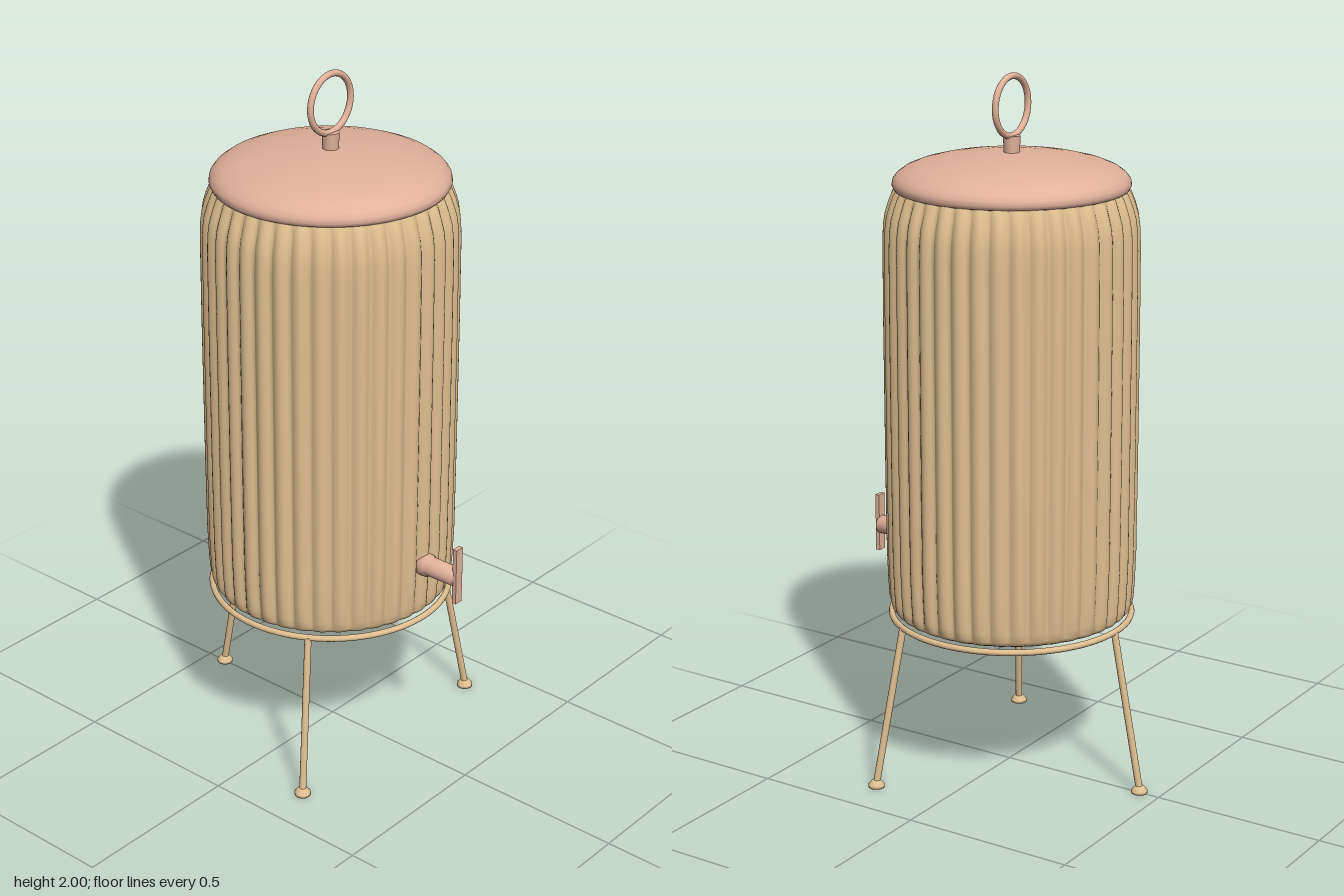
import * as THREE from 'three';
import { mergeVertices } from 'three/addons/utils/BufferGeometryUtils.js';

const FLUTES = 40;
const AXIS_Z = -0.007;

const tan = new THREE.MeshStandardMaterial({ name: 'warm tan', color: 0xdfbf8f });
const rose = new THREE.MeshStandardMaterial({ name: 'rose copper', color: 0xe2b19a });

function add(parent, name, geometry, material, x = 0, y = 0, z = 0) {
  const mesh = new THREE.Mesh(geometry, material);
  mesh.name = name;
  mesh.position.set(x, y, z);
  parent.add(mesh);
  return mesh;
}

const lathe = (pts, segments) =>
  new THREE.LatheGeometry(pts.map(([r, y]) => new THREE.Vector2(r, y)), segments);

// Round rod between two points
function rod(parent, name, from, to, radius, material) {
  const length = from.distanceTo(to);
  const mesh = add(parent, name, new THREE.CylinderGeometry(radius, radius, length, 12), material);
  mesh.position.copy(from).lerp(to, 0.5);
  mesh.quaternion.setFromUnitVectors(new THREE.Vector3(0, 1, 0), to.clone().sub(from).normalize());
  return mesh;
}

// Barrel turned from a profile, then scalloped into rounded flutes
function flutedBody() {
  const profile = [
    [0.322, 0.474], [0.334, 0.48], [0.343, 0.492], [0.348, 0.515], [0.351, 0.56], [0.354, 0.65],
    [0.355, 0.9], [0.355, 1.3], [0.354, 1.53], [0.352, 1.585], [0.347, 1.62],
    [0.338, 1.65], [0.328, 1.675], [0.318, 1.692],
  ];
  const geometry = lathe(profile, FLUTES * 8);
  geometry.deleteAttribute('uv');
  geometry.deleteAttribute('normal');
  const p = geometry.attributes.position;
  for (let i = 0; i < p.count; i++) {
    const x = p.getX(i), y = p.getY(i), z = p.getZ(i);
    const lobe = Math.abs(Math.cos(Math.atan2(x, z) * FLUTES / 2));
    const fade = Math.min(1, (y - 0.46) / 0.06, Math.max(0.3, (1.72 - y) / 0.06));
    const k = 1 - 0.042 * fade * (1 - lobe);
    p.setXYZ(i, x * k, y, z * k);
  }
  const welded = mergeVertices(geometry, 1e-5);
  welded.computeVertexNormals();
  return welded;
}

export function createModel() {
  const model = new THREE.Group();
  model.name = 'drinkDispenser';
  const vessel = new THREE.Group();
  vessel.name = 'vessel';
  vessel.position.z = AXIS_Z;
  model.add(vessel);

  // Barrel and its floor
  add(vessel, 'flutedBody', flutedBody(), tan);
  const floor = add(vessel, 'bodyFloor', new THREE.CircleGeometry(0.323, 80), tan, 0, 0.4745);
  floor.rotation.x = Math.PI / 2;

  // Domed lid with knob stem and ring handle
  add(vessel, 'lid', lathe([
    [0, 1.684], [0.312, 1.684], [0.322, 1.688], [0.327, 1.698], [0.325, 1.711], [0.315, 1.724],
    [0.296, 1.738], [0.265, 1.751], [0.22, 1.763], [0.165, 1.773], [0.1, 1.781], [0.05, 1.784], [0, 1.785],
  ], 80), rose);
  add(vessel, 'handleStem', new THREE.CylinderGeometry(0.024, 0.022, 0.05, 24), rose, 0, 1.805);
  add(vessel, 'ringHandle', new THREE.TorusGeometry(0.081, 0.009, 12, 56), rose, 0, 1.91);

  // Stand: hoop and three splayed legs with flared feet
  const stand = new THREE.Group();
  stand.name = 'stand';
  vessel.add(stand);
  const hoop = add(stand, 'standHoop', new THREE.TorusGeometry(0.342, 0.009, 10, 96), tan, 0, 0.465);
  hoop.rotation.x = Math.PI / 2;
  for (let i = 0; i < 3; i++) {
    const leg = new THREE.Group();
    leg.name = 'leg' + (i + 1);
    leg.rotation.y = i * Math.PI * 2 / 3;
    stand.add(leg);
    rod(leg, 'legRod', new THREE.Vector3(0, 0.465, -0.342), new THREE.Vector3(0, 0.01, -0.43), 0.01, tan);
    add(leg, 'foot', lathe([[0, 0], [0.023, 0], [0.023, 0.008], [0.012, 0.021], [0, 0.021]], 24), tan, 0, 0, -0.43);
  }

  // Tap: flange, spout barrel and upright lever
  const tap = new THREE.Group();
  tap.name = 'tap';
  tap.position.y = 0.637;
  model.add(tap);
  const barrel = add(tap, 'tapBarrel', lathe([
    [0, 0.31], [0.033, 0.31], [0.033, 0.355], [0.028, 0.36], [0.027, 0.45], [0, 0.45],
  ], 32), rose);
  barrel.rotation.x = Math.PI / 2;
  add(tap, 'tapLever', new THREE.BoxGeometry(0.027, 0.17, 0.013), rose, 0, 0.007, 0.4535);

  return model;
}
